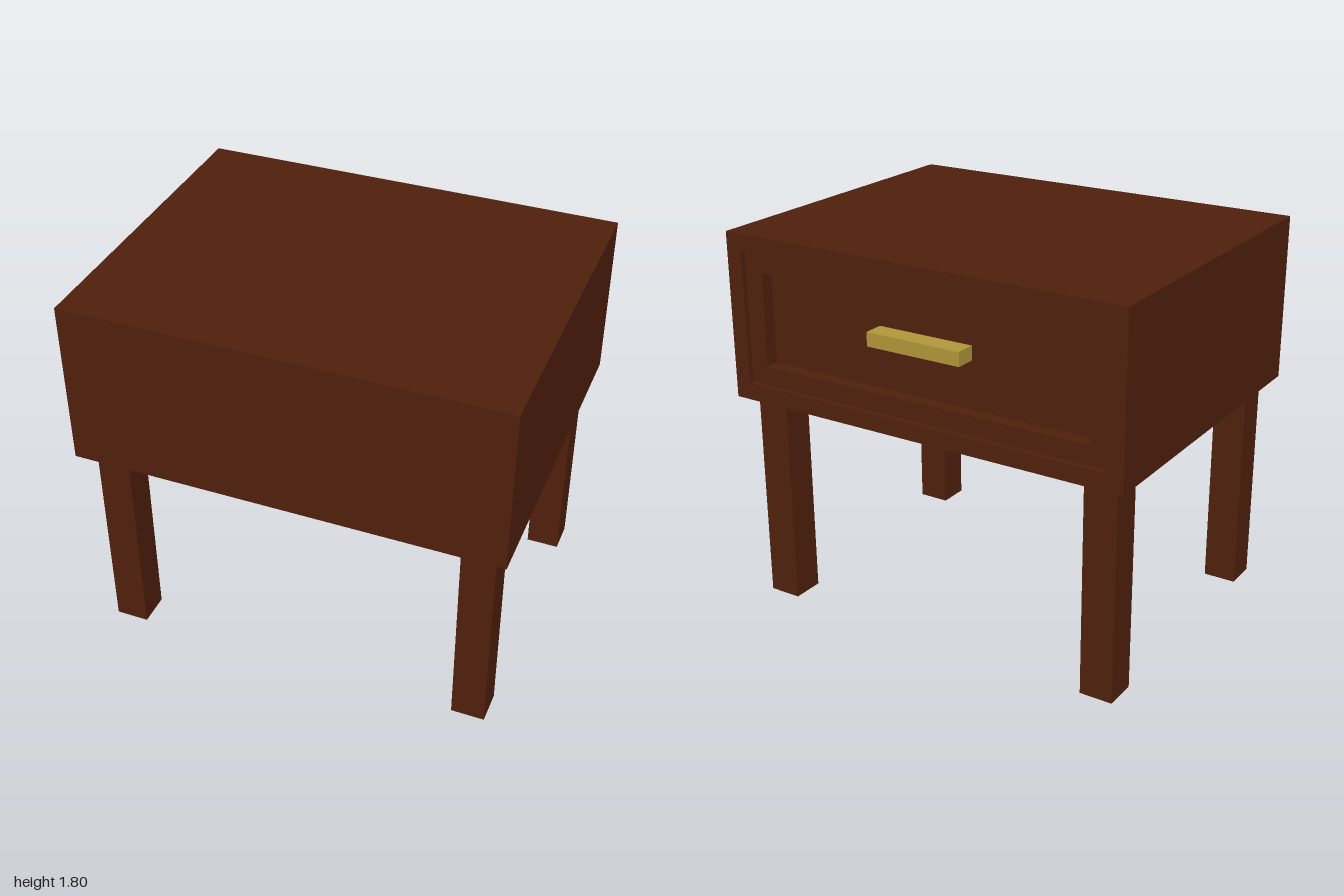
import * as THREE from 'three';

// Rectangular ring (or solid slab) extruded along z from z0 to z1
function frame(name, mat, [x, y0, y1], [hx, hy0, hy1], z0, z1) {
  const rect = (P, w, a, b) => {
    const p = new P();
    p.moveTo(-w, a);
    p.lineTo(w, a);
    p.lineTo(w, b);
    p.lineTo(-w, b);
    p.closePath();
    return p;
  };
  const shape = rect(THREE.Shape, x, y0, y1);
  shape.holes.push(rect(THREE.Path, hx, hy0, hy1));
  const geo = new THREE.ExtrudeGeometry(shape, { depth: z1 - z0, bevelEnabled: false });
  geo.translate(0, 0, z0);
  const mesh = new THREE.Mesh(geo, mat);
  mesh.name = name;
  return mesh;
}

// Box given by its minimum and maximum corners
function box(name, mat, a, b) {
  const mesh = new THREE.Mesh(new THREE.BoxGeometry(b[0] - a[0], b[1] - a[1], b[2] - a[2]), mat);
  mesh.position.set((a[0] + b[0]) / 2, (a[1] + b[1]) / 2, (a[2] + b[2]) / 2);
  mesh.name = name;
  return mesh;
}

export function createModel() {
  const wood = new THREE.MeshStandardMaterial({ color: 0x50200d });
  wood.name = 'dark wood';
  const brass = new THREE.MeshStandardMaterial({ color: 0xb0973a });
  brass.name = 'brass';

  const group = new THREE.Group();
  group.name = 'nightstand';

  const bottom = 1.02, top = 1.8, face = -0.778, drawerFace = -0.753, panel = -0.69;
  const outer = [1, bottom, top];
  const opening = [0.922, bottom + 0.08, top - 0.08];
  const inset = [0.83, bottom + 0.17, top - 0.17];

  // Cabinet: solid body, with a rim around the drawer opening
  group.add(box('cabinetBody', wood, [-1, bottom, panel], [1, top, 0.785]));
  group.add(frame('cabinetRim', wood, outer, opening, face, panel));

  // Drawer front: raised border around the recessed panel, which is the body's own face
  group.add(frame('drawerBorder', wood, opening, inset, drawerFace, panel));
  group.add(box('drawerHandle', brass, [-0.235, 1.41, -0.785], [0.235, 1.475, panel]));

  // Four square legs
  for (const sx of [-1, 1]) {
    for (const sz of [-1, 1]) {
      const leg = box('leg', wood, [-0.078, 0, -0.077], [0.078, bottom, 0.077]);
      leg.position.x = sx * 0.86;
      leg.position.z = sz * 0.627;
      group.add(leg);
    }
  }
  return group;
}
